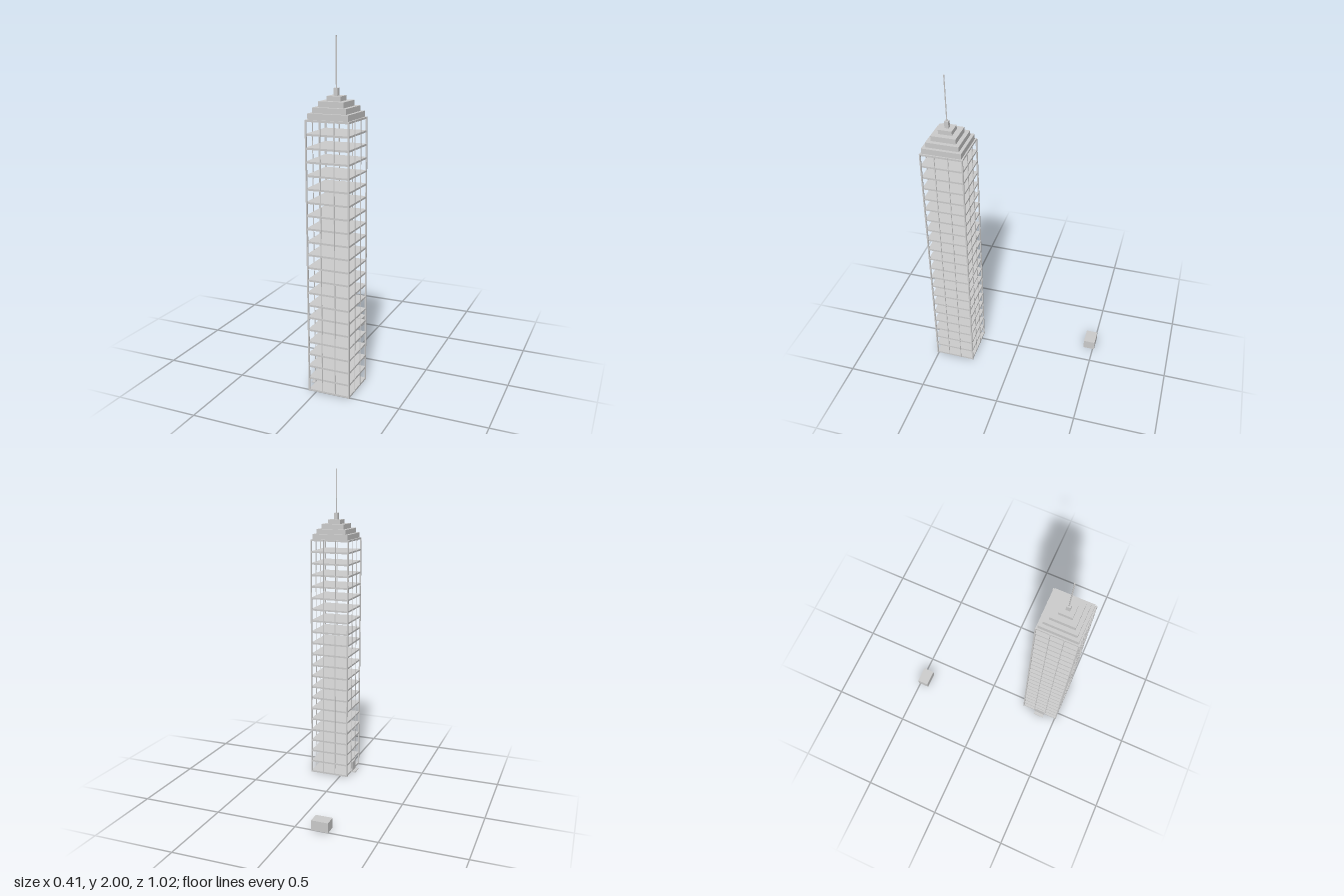
import * as THREE from 'three';

const material = new THREE.MeshStandardMaterial({ color: 0xcccccc, flatShading: true });

// Box placed by the centre of its base
function block(parent, name, w, h, d, x, y, z) {
  const mesh = new THREE.Mesh(new THREE.BoxGeometry(w, h, d), material);
  mesh.name = name;
  mesh.position.set(x, y + h / 2, z);
  parent.add(mesh);
  return mesh;
}

export function createModel() {
  const model = new THREE.Group();
  model.name = 'skyscraper';

  const tower = new THREE.Group();
  tower.name = 'tower';
  tower.position.set(0.079, 0, 0.382);
  model.add(tower);

  const width = 0.25, storeys = 21, storeyHeight = 0.0741, slab = 0.011;
  const frameHeight = storeys * storeyHeight + slab;

  // Open floors, one slab per storey plus the roof slab
  for (let i = 0; i <= storeys; i++) {
    block(tower, 'floorSlab', width, slab, width, 0, i * storeyHeight, 0);
  }

  // Corner columns
  const corner = 0.008, edge = 0.1275 - corner / 2;
  for (const sx of [-1, 1]) {
    for (const sz of [-1, 1]) {
      block(tower, 'cornerColumn', corner, frameHeight, corner, sx * edge, 0, sz * edge);
    }
  }

  // Two slim mullions on every face
  for (const side of [-1, 1]) {
    for (const offset of [-0.04, 0.04]) {
      block(tower, 'mullion', 0.005, frameHeight, 0.004, offset, 0, side * 0.1245);
      block(tower, 'mullion', 0.004, frameHeight, 0.004, side * 0.1245, 0, offset);
    }
  }

  // Stepped crown: [width, height]
  let y = frameHeight;
  for (const [w, h] of [[0.233, 0.033], [0.195, 0.03], [0.147, 0.031], [0.081, 0.026], [0.024, 0.041]]) {
    block(tower, 'crownTier', w, h, w, 0, y, 0);
    y += h;
  }

  // Spire
  const spire = new THREE.Mesh(new THREE.CylinderGeometry(0.0035, 0.0035, 2 - y, 8), material);
  spire.name = 'spire';
  spire.position.y = (2 + y) / 2;
  tower.add(spire);

  // Entrance on the right side: door and step
  block(tower, 'door', 0.007, 0.07, 0.07, -0.1295, 0, 0);
  block(tower, 'doorStep', 0.03, 0.005, 0.07, -0.139, 0, 0);

  // Detached block behind the tower
  block(model, 'outbuilding', 0.103, 0.06, 0.073, -0.1565, 0.004, -0.474);

  return model;
}
